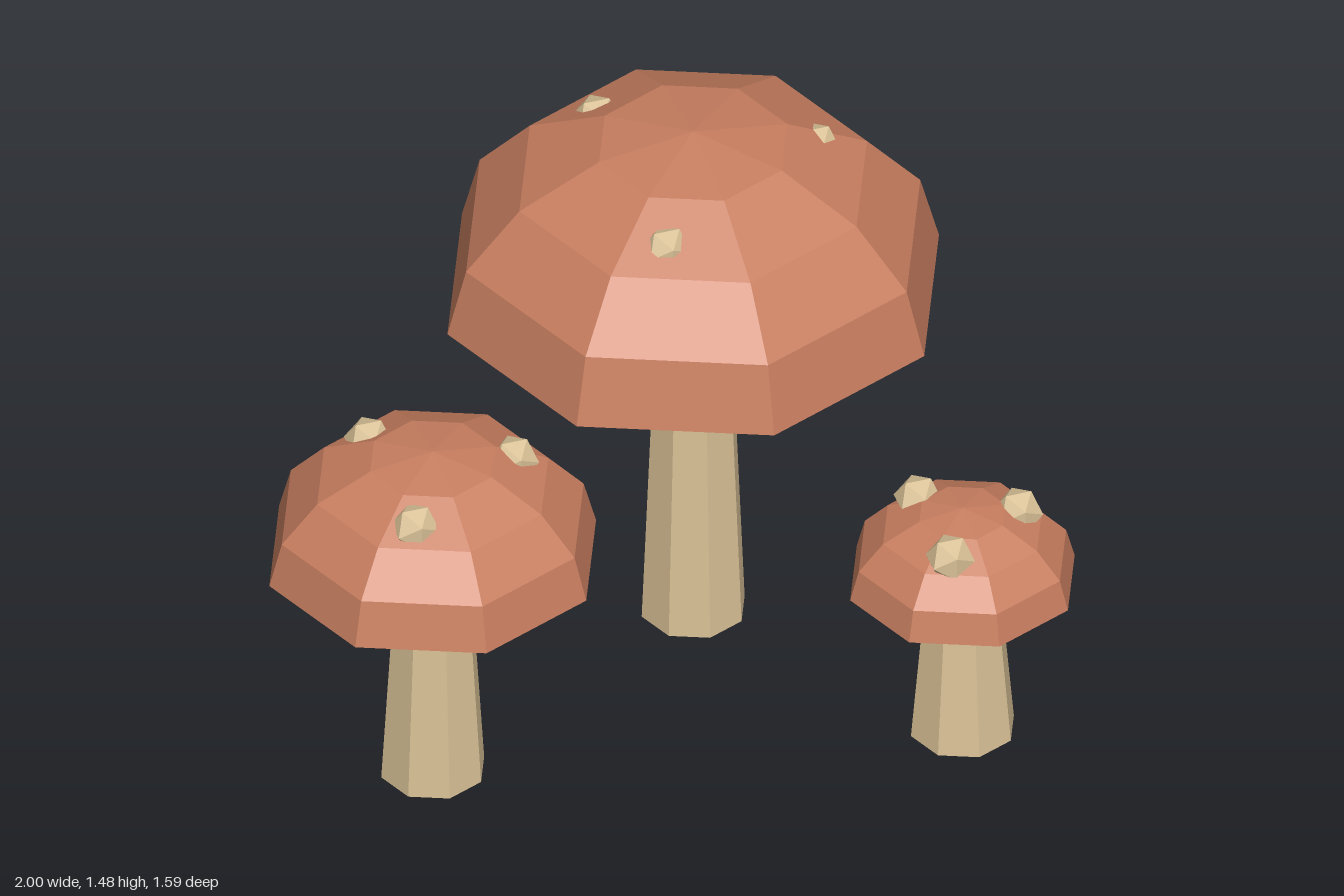
import * as THREE from 'three';

const capMaterial = new THREE.MeshStandardMaterial({ color: 0xc87e60, flatShading: true, side: THREE.DoubleSide });
const paleMaterial = new THREE.MeshStandardMaterial({ color: 0xd9c196, flatShading: true });

const SIDES = 8;

function addMesh(parent, name, geometry, material, x, y, z) {
  const mesh = new THREE.Mesh(geometry, material);
  mesh.name = name;
  mesh.position.set(x, y, z);
  parent.add(mesh);
  return mesh;
}

function createMushroom(name, x, z, stemHeight, capRadius) {
  const mushroom = new THREE.Group();
  mushroom.name = name;
  mushroom.position.set(x, 0, z);

  // Tapered octagonal stem
  addMesh(mushroom, 'stem', new THREE.CylinderGeometry(0.093, 0.133, stemHeight, SIDES),
    paleMaterial, 0, stemHeight / 2, 0);

  // Hollow, flattened half-dome cap, open underneath
  const dome = new THREE.SphereGeometry(capRadius, SIDES, 4, 0, Math.PI * 2, 0, Math.PI / 2);
  dome.scale(1, 0.75, 1);
  addMesh(mushroom, 'cap', dome, capMaterial, 0, stemHeight, 0);

  // Three spots poking through the cap
  for (let i = 0; i < 3; i++) {
    const angle = (i / 3) * Math.PI * 2;
    addMesh(mushroom, 'spot', new THREE.IcosahedronGeometry(0.0625, 0), paleMaterial,
      Math.cos(angle) * capRadius * 0.5,
      stemHeight + capRadius * 0.525 + 0.02,
      Math.sin(angle) * capRadius * 0.5);
  }
  return mushroom;
}

export function createModel() {
  const model = new THREE.Group();
  model.name = 'mushroomCluster';
  model.add(
    createMushroom('largeMushroom', 0.23, -0.16, 1.0, 0.635),
    createMushroom('mediumMushroom', -0.578, 0.25, 0.665, 0.422),
    createMushroom('smallMushroom', 0.708, 0.5, 0.46, 0.29),
  );
  return model;
}
